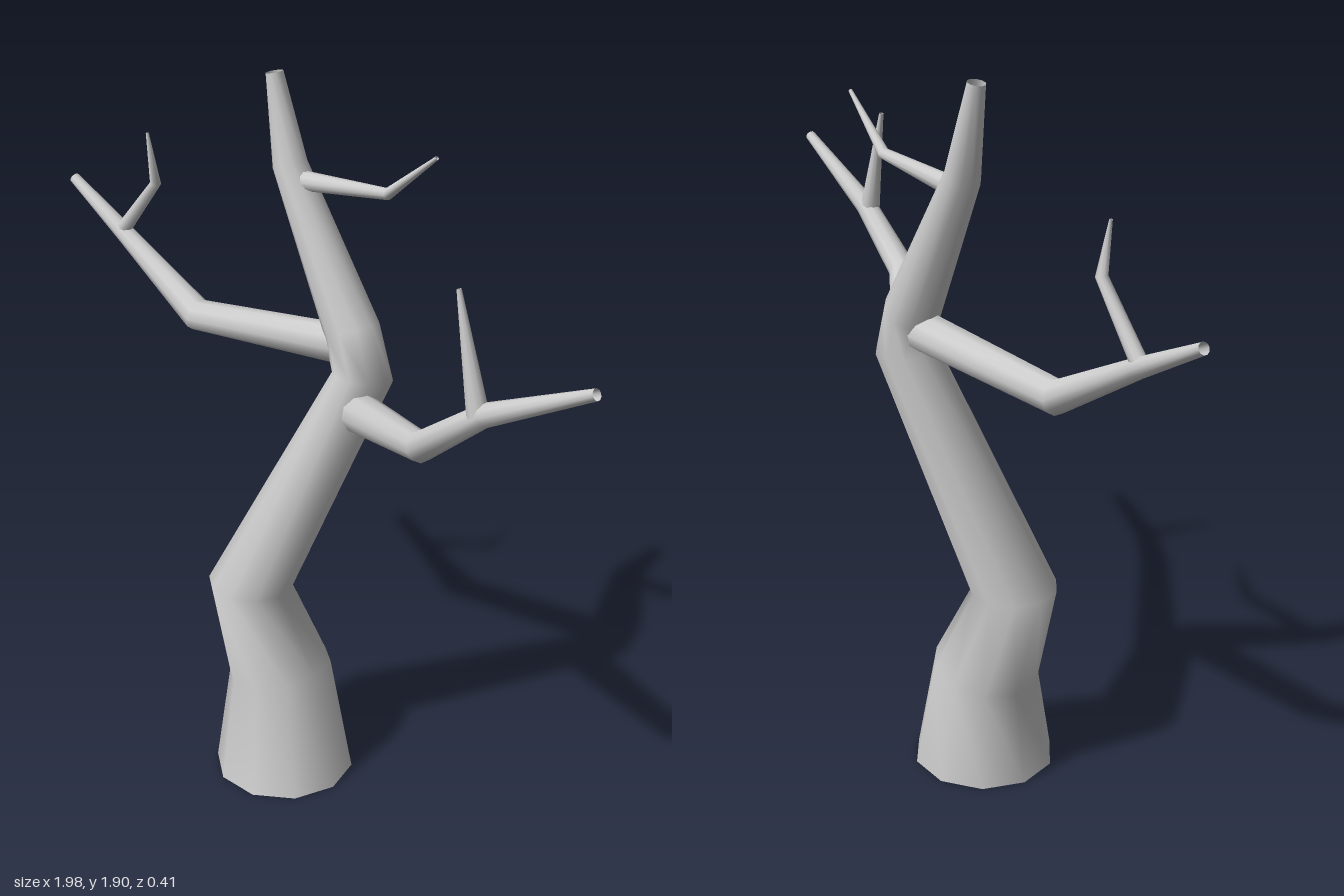
import * as THREE from 'three';

const SIDES = 10;
const X = new THREE.Vector3(1, 0, 0);
const Y = new THREE.Vector3(0, 1, 0);
const Z = new THREE.Vector3(0, 0, 1);

// Open tapering limb through [x, y, z, radius] points, with mitred rings at the kinks.
function limbGeometry(points, ref, startNormal) {
  const centers = points.map(p => new THREE.Vector3(p[0], p[1], p[2]));
  const last = centers.length - 1;
  const dirs = centers.slice(1).map((c, i) => c.clone().sub(centers[i]).normalize());
  const positions = [];
  const indices = [];
  centers.forEach((c, i) => {
    const n = dirs[Math.max(i - 1, 0)].clone().add(dirs[Math.min(i, last - 1)]).normalize();
    if (i === 0 && startNormal) n.copy(startNormal);
    const u = ref.clone().addScaledVector(n, -ref.dot(n)).normalize();
    const v = n.clone().cross(u);
    for (let j = 0; j < SIDES; j++) {
      const a = (j / SIDES) * Math.PI * 2;
      const p = c.clone()
        .addScaledVector(u, Math.cos(a) * points[i][3])
        .addScaledVector(v, Math.sin(a) * points[i][3]);
      positions.push(p.x, p.y, p.z);
      if (i < last) {
        const a0 = i * SIDES + j;
        const b0 = i * SIDES + (j + 1) % SIDES;
        indices.push(a0, b0, a0 + SIDES, b0, b0 + SIDES, a0 + SIDES);
      }
    }
  });
  const geometry = new THREE.BufferGeometry();
  geometry.setAttribute('position', new THREE.Float32BufferAttribute(positions, 3));
  geometry.setIndex(indices);
  geometry.computeVertexNormals();
  return geometry;
}

export function createModel() {
  const tree = new THREE.Group();
  tree.name = 'bareTree';
  const bark = new THREE.MeshStandardMaterial({ color: 0xcccccc, side: THREE.DoubleSide });

  const addLimb = (name, points, ref = Z, startNormal = null) => {
    const mesh = new THREE.Mesh(limbGeometry(points, ref, startNormal), bark);
    mesh.name = name;
    tree.add(mesh);
  };

  // Leaning trunk, flat on the ground
  addLimb('trunk', [
    [-0.07, 0, 0.025, 0.19],
    [-0.1, 0.29, 0.01, 0.143],
    [-0.175, 0.54, 0.047, 0.114],
    [0.07, 1.17, -0.125, 0.079],
    [0.025, 1.28, -0.133, 0.073],
    [-0.197, 1.67, -0.133, 0.046],
    [-0.242, 1.9, -0.125, 0.023],
  ], X, Y);

  // Right branch and its twig
  addLimb('rightBranch', [
    [0.03, 1.24, -0.13, 0.053],
    [-0.485, 1.2, -0.065, 0.044],
    [-0.77, 1.36, -0.063, 0.026],
    [-0.985, 1.472, -0.065, 0.015],
  ]);
  addLimb('rightTwig', [
    [-0.785, 1.365, -0.063, 0.021],
    [-0.637, 1.535, -0.063, 0.015],
    [-0.66, 1.67, -0.06, 0.004],
  ]);

  // Left branch and its twig
  addLimb('leftBranch', [
    [0.06, 1.075, -0.11, 0.056],
    [0.505, 1.21, 0.145, 0.038],
    [0.69, 1.35, 0.145, 0.029],
    [0.985, 1.492, 0.14, 0.014],
  ]);
  addLimb('leftTwig', [
    [0.675, 1.345, 0.148, 0.027],
    [0.607, 1.628, 0.148, 0.006],
  ]);

  // Twig near the top of the trunk
  addLimb('topTwig', [
    [-0.18, 1.635, -0.13, 0.027],
    [0.125, 1.662, -0.147, 0.015],
    [0.283, 1.788, -0.143, 0.005],
  ]);

  return tree;
}
